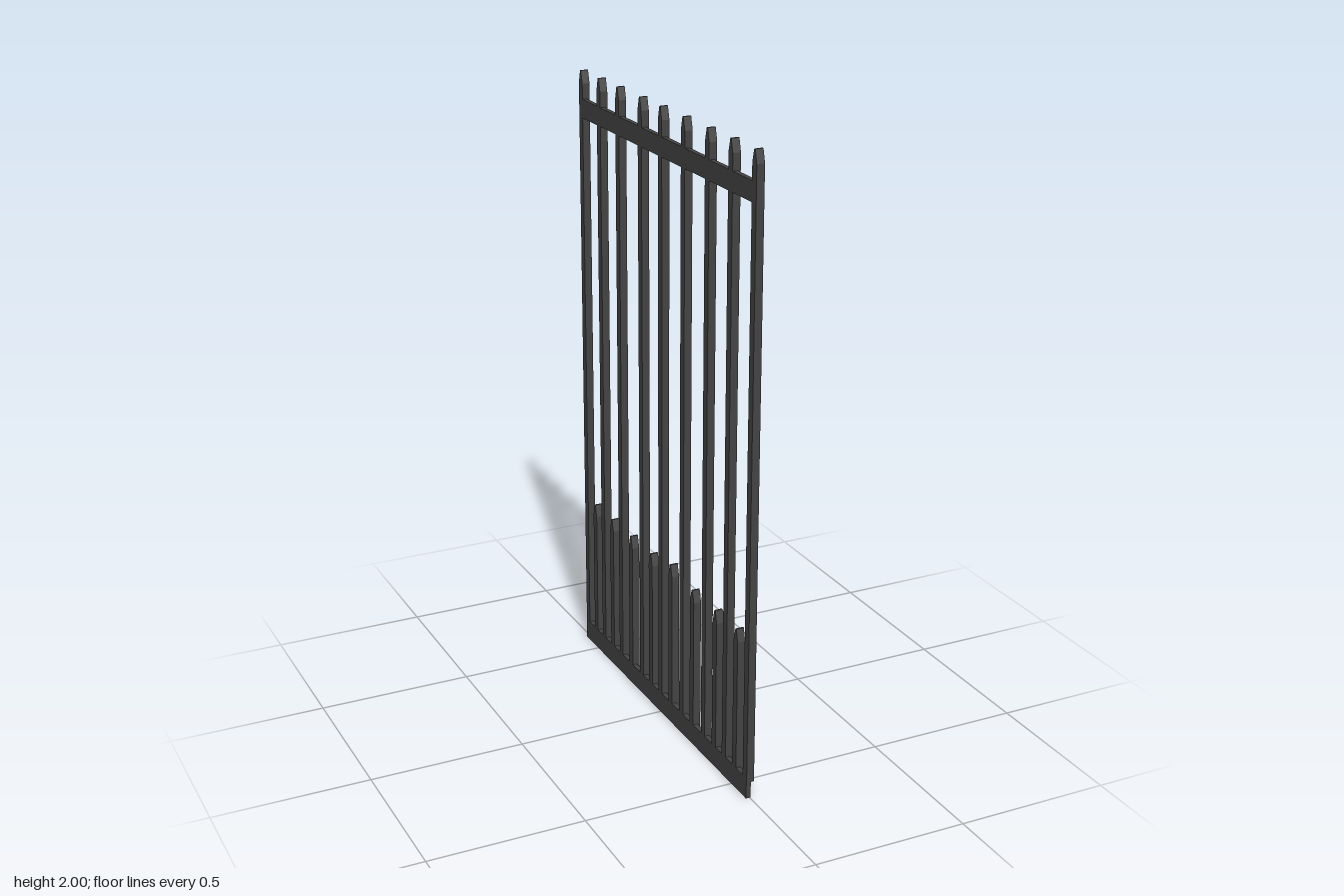
import * as THREE from 'three';

const BACK = -0.0125, DEPTH = 0.025, HALF = 0.013, BASE = 0.055;

export function createModel() {
  const model = new THREE.Group();
  model.name = 'railingPanel';
  const iron = new THREE.MeshStandardMaterial({ color: 0x444444, flatShading: true });

  // upright bar with a ridged point, profile in z/y and extruded along x
  function bar(name, z, top) {
    const s = new THREE.Shape();
    s.moveTo(-HALF, BASE);
    s.lineTo(HALF, BASE);
    s.lineTo(HALF, top - 0.04);
    s.lineTo(0.003, top);
    s.lineTo(-0.003, top);
    s.lineTo(-HALF, top - 0.04);
    s.closePath();
    const g = new THREE.ExtrudeGeometry(s, { depth: DEPTH, bevelEnabled: false });
    g.rotateY(Math.PI / 2);
    const m = new THREE.Mesh(g, iron);
    m.name = name;
    m.position.set(BACK, 0, z);
    model.add(m);
  }

  // flat rail along z, flush with the back of the bars
  function rail(name, y0, y1, length) {
    const depth = 0.0155;
    const m = new THREE.Mesh(new THREE.BoxGeometry(depth, y1 - y0, length), iron);
    m.name = name;
    m.position.set(BACK + depth / 2, (y0 + y1) / 2, 0);
    model.add(m);
  }

  rail('bottomRail', 0, 0.07, 1.194);
  rail('topRail', 1.85, 1.91, 1.18);

  // full-height bars, slightly uneven spacing
  [0.586, 0.447, 0.304, 0.15, -0.003, -0.144, -0.306, -0.446, -0.583]
    .forEach((z, i) => bar('tallBar' + (i + 1), z, 2));

  // short spikes between the bars, one a little taller
  [0.516, 0.379, 0.224, 0.07, -0.075, -0.227, -0.376, -0.513]
    .forEach((z, i) => bar('shortSpike' + (i + 1), z, i === 3 ? 0.557 : 0.535));

  return model;
}
